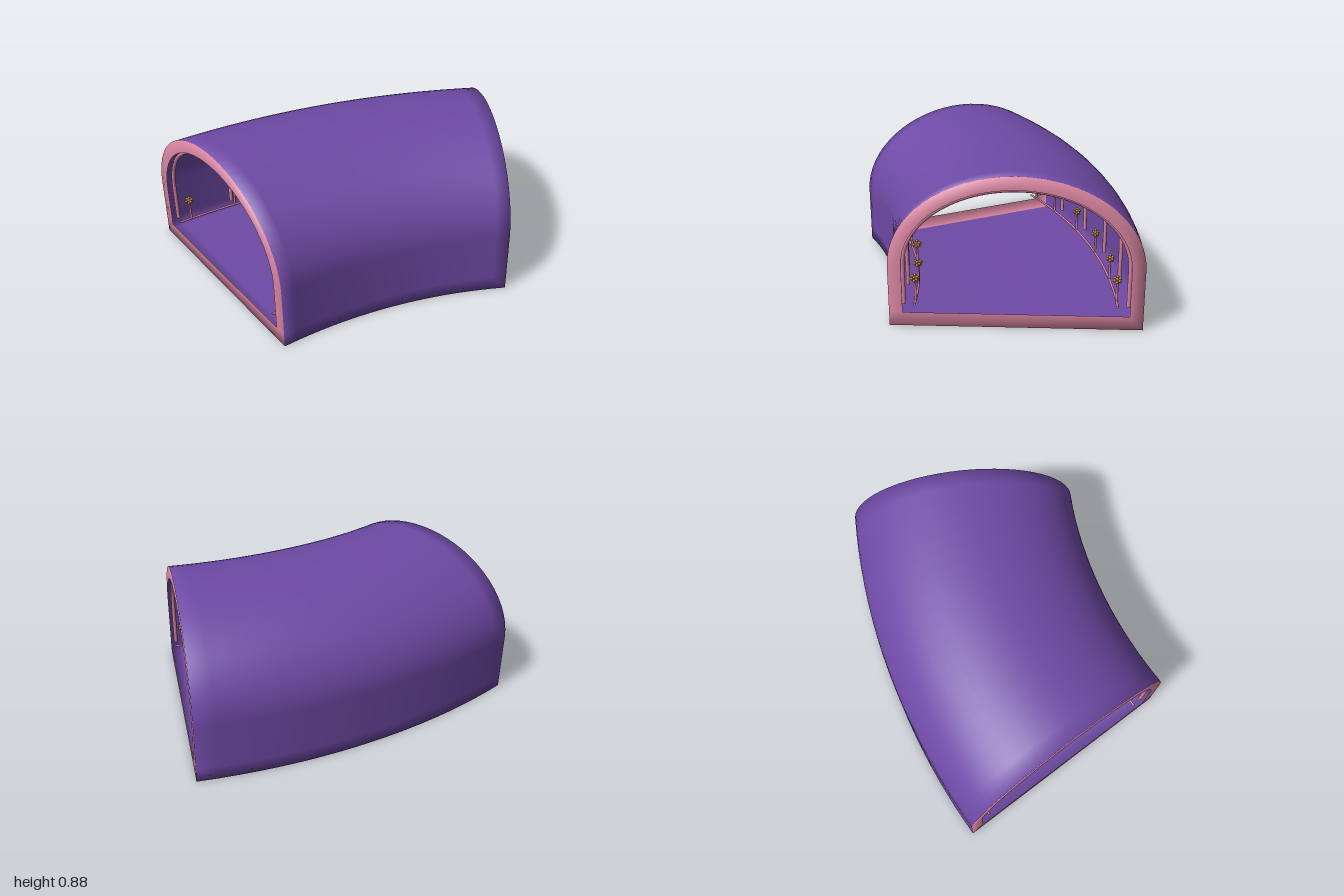
import * as THREE from 'three';
import { mergeGeometries } from 'three/addons/utils/BufferGeometryUtils.js';

const RADIUS = 3.3, BEND = Math.PI / 6, SEGMENTS = 18, ARCH_STEPS = 32;
const CENTRE_X = 3.125, CENTRE_Z = 1;

// Point in the bent tunnel: u across, y up, t from front (0) to back (1)
function place(u, y, t) {
  const r = RADIUS - u, a = t * BEND;
  return new THREE.Vector3(CENTRE_X - r * Math.cos(a), y, CENTRE_Z - r * Math.sin(a));
}

// Straight walls under a half ellipse, from the right foot to the left foot
function archProfile(halfWidth, top, foot, wall) {
  const spring = 0.355, points = [[halfWidth, foot], [halfWidth, wall]];
  for (let i = 0; i <= ARCH_STEPS; i++) {
    const a = Math.PI * i / ARCH_STEPS;
    points.push([halfWidth * Math.cos(a), spring + (top - spring) * Math.sin(a)]);
  }
  points.push([-halfWidth, wall], [-halfWidth, foot]);
  return points;
}

// Thin bent shell with a flat rim at each end, sharing smooth normals
function buildTunnel(shellMaterial, rimMaterial) {
  const outer = archProfile(0.7, 0.875, 0, 0.08);
  const inner = archProfile(0.625, 0.798, 0.08, 0.12);
  const n = outer.length, positions = [], index = [];
  const addRing = (profile, t) => profile.forEach(([u, y]) => positions.push(...place(u, y, t).toArray()));
  for (let j = 0; j <= SEGMENTS; j++) addRing(outer, j / SEGMENTS);
  addRing(inner, 0);
  addRing(inner, 1);

  for (let j = 0; j < SEGMENTS; j++) {
    for (let i = 0; i < n; i++) {
      const a = j * n + i, c = j * n + (i + 1) % n;
      index.push(a, a + n, c, c, a + n, c + n);
    }
  }
  const shellCount = index.length;
  const front = (SEGMENTS + 1) * n, back = front + n, last = SEGMENTS * n;
  for (let i = 0; i < n; i++) {
    const k = (i + 1) % n;
    index.push(i, k, front + i, k, front + k, front + i);
    index.push(last + i, back + i, last + k, last + k, back + i, back + k);
  }
  const geometry = new THREE.BufferGeometry();
  geometry.setAttribute('position', new THREE.Float32BufferAttribute(positions, 3));
  geometry.setIndex(index);
  geometry.addGroup(0, shellCount, 0);
  geometry.addGroup(shellCount, index.length - shellCount, 1);
  geometry.computeVertexNormals();
  const mesh = new THREE.Mesh(geometry, [shellMaterial, rimMaterial]);
  mesh.name = 'tunnelShellAndRims';
  return mesh;
}

function tube(points, radius, steps, material, name) {
  const curve = new THREE.CatmullRomCurve3(points);
  const mesh = new THREE.Mesh(new THREE.TubeGeometry(curve, steps, radius, 8), material);
  mesh.name = name;
  return mesh;
}

// Cluster of small beads around a core
function buildBlossomGeometry() {
  const parts = [new THREE.SphereGeometry(0.014, 10, 8)];
  for (let x = -1; x <= 1; x++) for (let y = -1; y <= 1; y++) for (let z = -1; z <= 1; z++) {
    const count = Math.abs(x) + Math.abs(y) + Math.abs(z);
    if (count !== 1 && count !== 3) continue;
    const d = new THREE.Vector3(x, y, z).setLength(count === 1 ? 0.021 : 0.018);
    parts.push(new THREE.SphereGeometry(0.0085, 8, 6).translate(d.x, d.y, d.z));
  }
  return mergeGeometries(parts);
}

export function createModel() {
  const material = (name, color, side = THREE.FrontSide) => {
    const m = new THREE.MeshStandardMaterial({ color, side });
    m.name = name;
    return m;
  };
  const purple = material('purple', 0x6f4aa6, THREE.DoubleSide);
  const pink = material('pink', 0xd985a2, THREE.DoubleSide);
  const gold = material('gold', 0xc48a4e);

  const model = new THREE.Group();
  model.name = 'curvedTunnel';
  model.add(buildTunnel(purple, pink));

  // Arched ribs along the inside
  const ribProfile = archProfile(0.62, 0.79, 0.12, 0.22);
  for (const t of [0.02, 0.2, 0.4, 0.6, 0.8, 0.98]) {
    model.add(tube(ribProfile.map(([u, y]) => place(u, y, t)), 0.012, 56, pink, 'rib'));
  }

  // Low rails with blossom-topped posts on both sides
  const blossomGeometry = buildBlossomGeometry();
  const stemGeometry = new THREE.CylinderGeometry(0.006, 0.008, 0.13, 8);
  for (const side of [-1, 1]) {
    const u = side * 0.56, path = [];
    for (let i = 0; i <= 16; i++) path.push(place(u, 0.122, 0.01 + 0.98 * i / 16));
    model.add(tube(path, 0.007, 40, pink, side > 0 ? 'leftRail' : 'rightRail'));

    for (const t of [0.05, 0.2, 0.4, 0.6, 0.8, 0.95]) {
      const post = new THREE.Group();
      post.name = 'blossomPost';
      const stem = new THREE.Mesh(stemGeometry, pink);
      stem.name = 'stem';
      stem.position.y = 0.185;
      const blossom = new THREE.Mesh(blossomGeometry, gold);
      blossom.name = 'blossom';
      blossom.position.y = 0.255;
      post.add(stem, blossom);
      post.position.copy(place(u, 0, t));
      model.add(post);
    }
  }
  return model;
}
